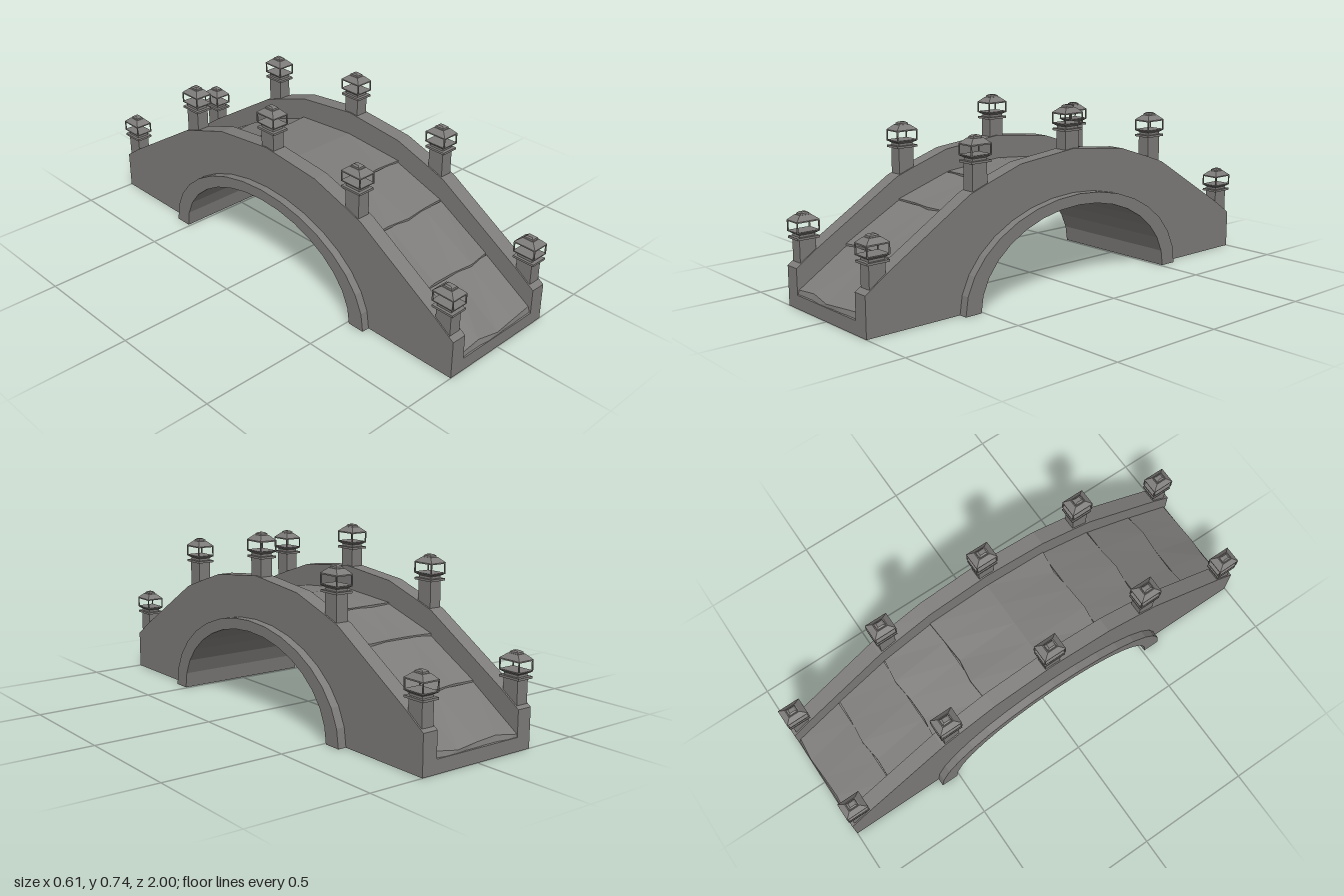
import * as THREE from 'three';

const stone = new THREE.MeshStandardMaterial({ color: 0x7e7c7a, flatShading: true });
stone.name = 'stone grey';

function add(parent, name, geometry, x = 0, y = 0, z = 0) {
  const mesh = new THREE.Mesh(geometry, stone);
  mesh.name = name;
  mesh.position.set(x, y, z);
  parent.add(mesh);
  return mesh;
}

// Half profiles as [z, y], from the foot of the bridge to its crown
const wallTop = [[1, 0.16], [0.91, 0.222], [0.53, 0.455], [0.44, 0.487], [0.28, 0.54], [0, 0.57]];
const deckTop = [[1, 0.055], [0.77, 0.208], [0.525, 0.35], [0.28, 0.435], [0, 0.463]];

const mirrored = (half) => [...half, ...half.slice(0, -1).reverse().map(([z, y]) => [-z, y])];

// Elliptical arch from +z to -z
function arch(a, b, n = 16) {
  return Array.from({ length: n + 1 }, (_, i) => {
    const t = (i / n) * Math.PI;
    return [a * Math.cos(t), i === 0 || i === n ? 0 : b * Math.sin(t)];
  });
}

// Extrude a z-y outline across the width from x0 to x1
function across(points, x0, x1) {
  const shape = new THREE.Shape(points.map(([z, y]) => new THREE.Vector2(z, y)));
  return new THREE.ExtrudeGeometry(shape, { depth: x1 - x0, bevelEnabled: false })
    .rotateY(-Math.PI / 2).translate(x1, 0, 0);
}

// Solid between an upper profile and the arch opening
function spanOutline(top) {
  return [...mirrored(top), [-1, 0], ...arch(0.55, 0.37).reverse(), [1, 0]];
}

// Height of the deck foundation at z
function deckY(z) {
  const d = Math.min(Math.abs(z), 1);
  for (let i = 0; i < deckTop.length - 1; i++) {
    const [z0, y0] = deckTop[i], [z1, y1] = deckTop[i + 1];
    if (d >= z1) return y1 + (y0 - y1) * (d - z1) / (z0 - z1);
  }
  return deckTop[0][1];
}

// Uneven paving slab with a ragged lip on the downhill edge
function slab(low, high, side, seed) {
  const geo = new THREE.BoxGeometry(0.404, 1, 1, 4, 1, 1);
  const p = geo.attributes.position;
  for (let i = 0; i < p.count; i++) {
    const column = Math.round((p.getX(i) / 0.404 + 0.5) * 4);
    const wave = Math.sin(column * 2.1 + seed * 1.7);
    const downhill = p.getZ(i) > 0, top = p.getY(i) > 0;
    let d = downhill ? low : high;
    if (downhill && low < 1) d += 0.008 * wave;
    if (downhill && low === 1 && top) d -= 0.008 + 0.006 * wave;
    const thick = top ? (downhill ? 0.014 + 0.004 * wave : 0.008) : -0.01;
    p.setXYZ(i, p.getX(i) * side, deckY(d) + thick, d * side);
  }
  return geo.translate(-0.0025, 0, 0);
}

// Four-sided tapered block standing on y, sizes as half widths
function taper(bottom, top, height) {
  return new THREE.CylinderGeometry(top * Math.SQRT2, bottom * Math.SQRT2, height, 4)
    .rotateY(Math.PI / 4).translate(0, height / 2, 0);
}

// Post with an open lantern on top; y = 0 is the underside of its collar
function lanternPost() {
  const g = new THREE.Group();
  g.name = 'lanternPost';
  add(g, 'shaft', taper(0.027, 0.027, 0.13), 0, -0.13);
  add(g, 'collar', taper(0.037, 0.037, 0.009));
  add(g, 'neck', taper(0.026, 0.026, 0.012), 0, 0.008);
  add(g, 'lanternBase', taper(0.026, 0.038, 0.009), 0, 0.018);
  add(g, 'lanternSill', taper(0.038, 0.038, 0.004), 0, 0.027);
  for (const x of [-1, 1]) for (const z of [-1, 1])
    add(g, 'cornerBar', new THREE.BoxGeometry(0.004, 0.038, 0.004), x * 0.036, 0.049, z * 0.036);
  add(g, 'lanternLintel', taper(0.038, 0.038, 0.005), 0, 0.067);
  add(g, 'roof', taper(0.038, 0.019, 0.02), 0, 0.072);
  add(g, 'knob', taper(0.016, 0.015, 0.006), 0, 0.092);
  add(g, 'knobTop', taper(0.015, 0.009, 0.005), 0, 0.098);
  g.scale.z = 1.3;
  return g;
}

export function createModel() {
  const bridge = new THREE.Group();
  bridge.name = 'archBridge';

  // Main body and parapets
  add(bridge, 'deckBody', across(spanOutline(deckTop), -0.204, 0.2));
  add(bridge, 'rightParapet', across(spanOutline(wallTop), -0.27, -0.204));
  add(bridge, 'leftParapet', across(spanOutline(wallTop), 0.2, 0.266));

  // Projecting arch ring, also forming the vault underneath
  add(bridge, 'archRing', across([...arch(0.585, 0.39), ...arch(0.51, 0.345).reverse()], -0.303, 0.302));

  // Paving, four slabs up each slope
  const joints = deckTop.map(([z]) => z);
  for (const side of [1, -1])
    for (let i = 0; i < 4; i++)
      add(bridge, 'pavingSlab', slab(joints[i], joints[i + 1], side, i + (side > 0 ? 0 : 5)));

  // Lantern posts along both parapets
  const posts = [[0.943, 0.266], [0.478, 0.567], [0.004, 0.641], [-0.482, 0.567], [-0.95, 0.266]];
  for (const x of [-0.238, 0.233])
    for (const [z, y] of posts) {
      const post = lanternPost();
      post.position.set(x, y, z);
      bridge.add(post);
    }
  return bridge;
}
